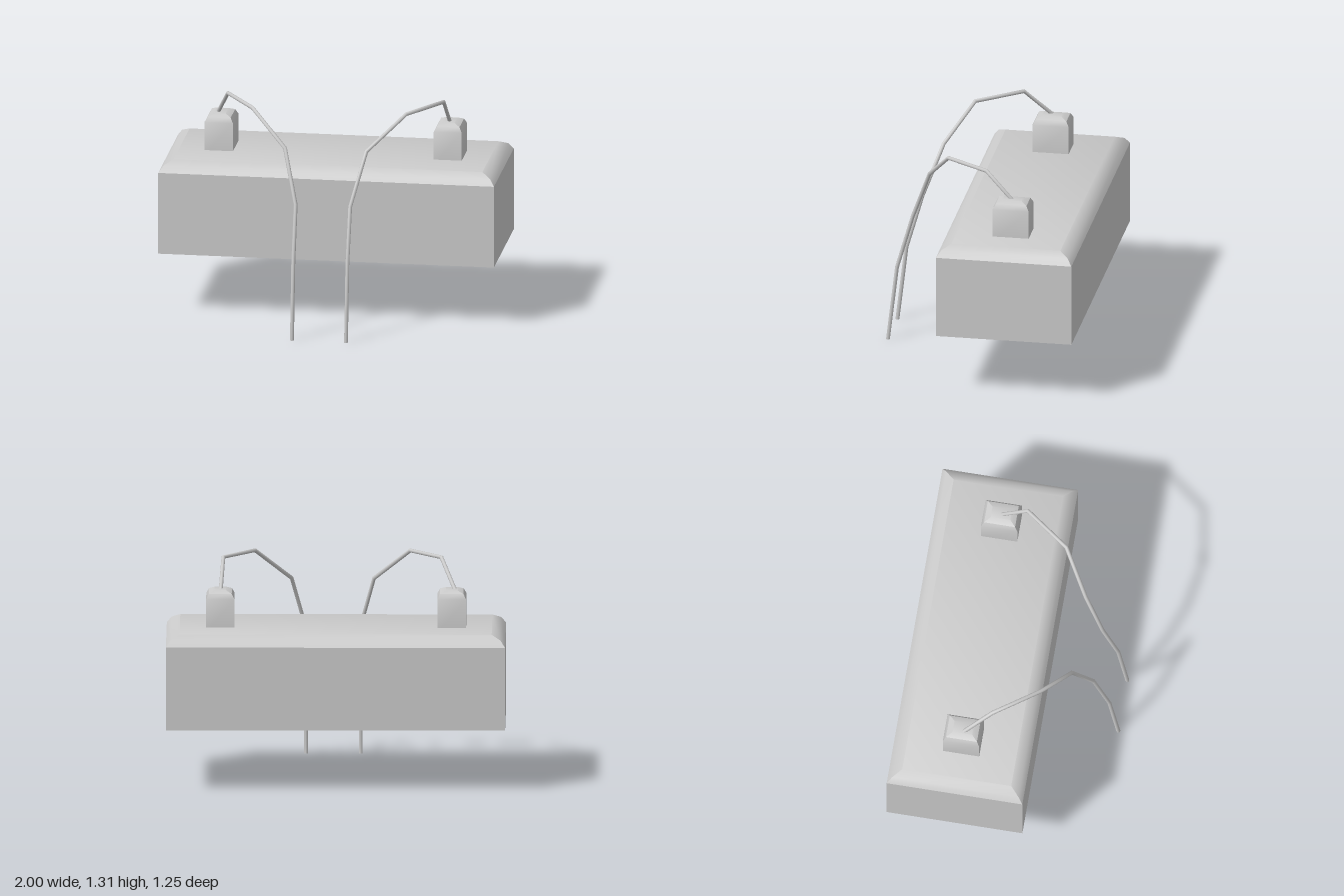
import * as THREE from 'three';
import { toCreasedNormals } from 'three/addons/utils/BufferGeometryUtils.js';

const material = new THREE.MeshStandardMaterial({ color: 0xcccccc });

// Closed block lofted through rectangles; rings are [y, inset] from bottom to top
function bevelledBlock(name, x0, x1, z0, z1, rings) {
  const pos = [], index = [];
  for (const [y, d] of rings) {
    pos.push(x0 + d, y, z1 - d, x1 - d, y, z1 - d, x1 - d, y, z0 + d, x0 + d, y, z0 + d);
  }
  for (let r = 0; r < rings.length - 1; r++) {
    for (let i = 0; i < 4; i++) {
      const a = r * 4 + i, b = r * 4 + (i + 1) % 4;
      index.push(a, b, b + 4, a, b + 4, a + 4);
    }
  }
  const t = (rings.length - 1) * 4;
  index.push(0, 2, 1, 0, 3, 2, t, t + 1, t + 2, t, t + 2, t + 3);
  const geo = new THREE.BufferGeometry();
  geo.setAttribute('position', new THREE.Float32BufferAttribute(pos, 3));
  geo.setIndex(index);
  const mesh = new THREE.Mesh(toCreasedNormals(geo, 0.55), material);
  mesh.name = name;
  return mesh;
}

// Path with straight runs and mitred bends exactly at its points
class BentPath extends THREE.Curve {
  constructor(points) {
    super();
    this.points = points;
  }
  getPointAt(t, target = new THREE.Vector3()) {
    return target.copy(this.points[Math.round(t * (this.points.length - 1))]);
  }
  getTangentAt(t, target = new THREE.Vector3()) {
    const p = this.points, i = Math.round(t * (p.length - 1));
    if (i === p.length - 1) return target.set(0, -1, 0); // level cut at the free end
    target.subVectors(p[i + 1], p[i]).normalize();
    if (i > 0) target.add(new THREE.Vector3().subVectors(p[i], p[i - 1]).normalize());
    return target.normalize();
  }
}

const WIRE_RADIUS = 0.012;
// Height and depth of each bend, from terminal to free end
const BENDS = [[1.13, -0.222], [1.303, -0.06], [1.295, 0.2], [1.1, 0.35], [0.79, 0.465], [0.46, 0.56], [0, 0.614]];

function wire(name, xs) {
  const points = BENDS.map(([y, z], i) => new THREE.Vector3(xs[i], y, z));
  const group = new THREE.Group();
  group.name = name;
  group.add(new THREE.Mesh(
    new THREE.TubeGeometry(new BentPath(points), points.length - 1, WIRE_RADIUS, 8), material));
  const cap = new THREE.Mesh(new THREE.CircleGeometry(WIRE_RADIUS, 8), material);
  cap.rotation.x = Math.PI / 2;
  cap.position.copy(points[points.length - 1]);
  group.add(cap);
  return group;
}

export function createModel() {
  const model = new THREE.Group();
  model.name = 'batteryWithWires';

  // Main case with a two-step bevel around the top
  model.add(bevelledBlock('case', -1, 1, -0.627, 0.184,
    [[0.37, 0], [0.866, 0], [0.905, 0.028], [0.93, 0.08]]));

  // Terminals
  const terminalRings = [[0.9, 0], [1.1, 0], [1.13, 0.016], [1.145, 0.05]];
  model.add(bevelledBlock('leftTerminal', 0.598, 0.765, -0.33, -0.113, terminalRings));
  model.add(bevelledBlock('rightTerminal', -0.768, -0.598, -0.33, -0.113, terminalRings));

  // Wires bending forward and down from the terminals
  model.add(wire('leftWire', [0.68, 0.665, 0.48, 0.265, 0.185, 0.182, 0.182]));
  model.add(wire('rightWire', [-0.705, -0.62, -0.435, -0.22, -0.14, -0.14, -0.14]));
  return model;
}
